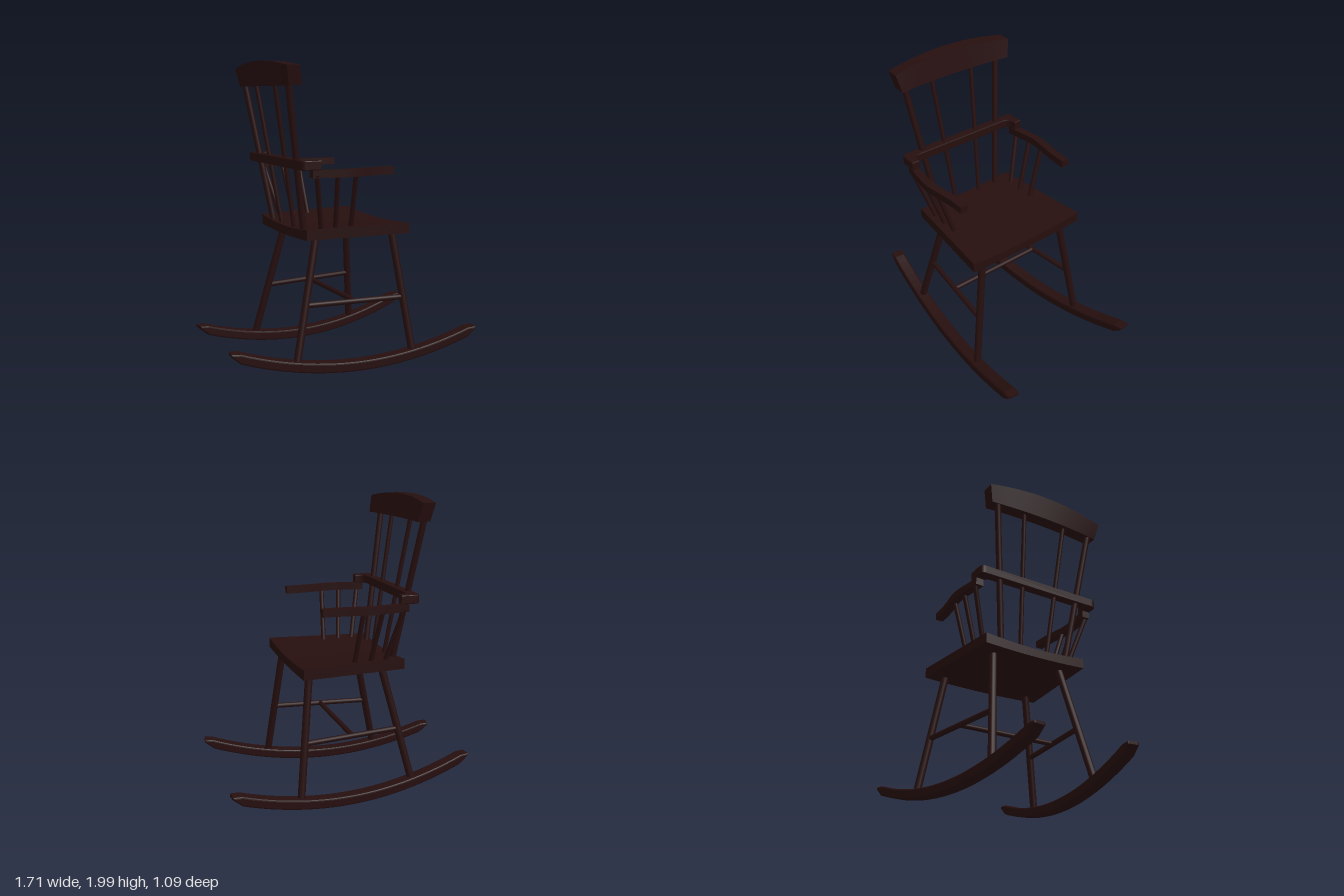
import * as THREE from 'three';

const wood = new THREE.MeshStandardMaterial({ color: 0x260e0e });
wood.name = 'darkWood';

function add(parent, name, geometry) {
  const mesh = new THREE.Mesh(geometry, wood);
  mesh.name = name;
  parent.add(mesh);
  return mesh;
}

// Round bar between two points
function rod(parent, name, a, b, r) {
  const p = new THREE.Vector3(...a), q = new THREE.Vector3(...b);
  const d = q.clone().sub(p);
  const mesh = add(parent, name, new THREE.CylinderGeometry(r, r, d.length(), 14));
  mesh.position.copy(p).add(q).multiplyScalar(0.5);
  mesh.quaternion.setFromUnitVectors(new THREE.Vector3(0, 1, 0), d.normalize());
  return mesh;
}

// Segmented unit box whose corners are placed by a rule
function bentBox(nx, ny, nz, rule) {
  const g = new THREE.BoxGeometry(1, 1, 1, nx, ny, nz);
  const pos = g.attributes.position;
  for (let i = 0; i < pos.count; i++) {
    pos.setXYZ(i, ...rule(pos.getX(i), pos.getY(i), pos.getZ(i)));
  }
  g.computeVertexNormals();
  return g;
}

// Flat plan outline (x, z) raised to a thickness between y0 and y1
function slab(shape, y0, y1, bevel) {
  const g = new THREE.ExtrudeGeometry(shape, {
    depth: y1 - y0 - 2 * bevel, bevelEnabled: true, bevelSize: bevel,
    bevelThickness: bevel, bevelOffset: -bevel, bevelSegments: 2, curveSegments: 12,
  });
  g.rotateX(Math.PI / 2);
  g.translate(0, y1 - bevel, 0);
  return g;
}

// Curved runner in the side plane, centred on its width
function rockerGeometry() {
  const bottom = [], top = [], n = 28;
  for (let i = 0; i <= n; i++) {
    const x = -0.855 + (1.71 * i) / n;
    const rise = 0.222 * x * x;
    const tip = Math.max(0, Math.abs(x) - 0.8) / 0.055;
    bottom.push(new THREE.Vector2(x, rise + 0.005 + 0.03 * tip * tip));
    top.push(new THREE.Vector2(x, rise + 0.072 - 0.018 * tip * tip));
  }
  const shape = new THREE.Shape([...bottom, ...top.reverse()]);
  const g = new THREE.ExtrudeGeometry(shape, {
    depth: 0.06, bevelEnabled: true, bevelSize: 0.012, bevelThickness: 0.013,
    bevelOffset: -0.012, bevelSegments: 3,
  });
  g.translate(0, 0, -0.03);
  return g;
}

export function createModel() {
  const chair = new THREE.Group();
  chair.name = 'rockingChair';

  // Seat: dished slab, wider at the front
  add(chair, 'seat', bentBox(8, 1, 18, (x, y, z) => {
    const half = 0.41 + 0.07 * x;
    const t = 2 * z;
    const dip = (y > 0 ? 0.022 : 0.012) * (1 - t * t);
    return [0.005 + 0.71 * x, 0.919 + 0.068 * y + 0.006 * x - dip, t * half];
  }));

  // Crest rail: bowed, leaning back, arched along its top edge
  add(chair, 'crestRail', bentBox(1, 4, 20, (x, y, z) => {
    const t = 2 * z, h = y + 0.5;
    return [
      -0.464 - 0.024 * h + 0.086 * x + 0.024 * t * t,
      1.843 + h * (0.155 - 0.038 * t * t),
      t * (0.42 + 0.026 * h),
    ];
  }));

  // Middle rail: straight across the back, with short forward returns
  const rail = new THREE.Shape();
  rail.moveTo(-0.285, -0.455);
  rail.lineTo(-0.38, -0.455);
  rail.quadraticCurveTo(-0.415, -0.455, -0.415, -0.42);
  rail.lineTo(-0.415, 0.42);
  rail.quadraticCurveTo(-0.415, 0.455, -0.38, 0.455);
  rail.lineTo(-0.285, 0.455);
  rail.lineTo(-0.285, 0.4);
  rail.quadraticCurveTo(-0.35, 0.4, -0.352, 0.35);
  rail.lineTo(-0.352, -0.35);
  rail.quadraticCurveTo(-0.35, -0.4, -0.285, -0.4);
  add(chair, 'middleRail', slab(rail, 1.33, 1.39, 0.006));

  const rocker = rockerGeometry();
  for (const s of [1, -1]) {
    const side = new THREE.Group();
    side.name = s > 0 ? 'leftSide' : 'rightSide';
    chair.add(side);

    // Rockers splay outward toward the front
    const runner = add(side, 'rocker', rocker);
    runner.position.z = s * 0.415;
    runner.rotation.y = -s * 0.106;

    // Legs and side stretcher
    rod(side, 'frontLeg', [0.29, 0.905, s * 0.325], [0.39, 0.07, s * 0.456], 0.025);
    rod(side, 'rearLeg', [-0.225, 0.905, s * 0.252], [-0.423, 0.07, s * 0.371], 0.025);
    rod(side, 'sideStretcher', [0.344, 0.45, s * 0.397], [-0.333, 0.45, s * 0.317], 0.018);

    // Back posts and inner spindles
    rod(side, 'backPost', [-0.313, 0.91, s * 0.247], [-0.468, 1.87, s * 0.37], 0.021);
    rod(side, 'backSpindle', [-0.313, 0.91, s * 0.1], [-0.468, 1.87, s * 0.16], 0.015);

    // Armrest with a gentle outward bulge
    add(side, 'armrest', bentBox(18, 1, 1, (x, y, z) => {
      const px = -0.053 + 0.575 * x;
      const bulge = 0.032 * Math.exp(-Math.pow((px + 0.1) / 0.16, 2));
      return [px, 1.305 + 0.048 * y, s * 0.42 + 0.054 * z + s * bulge];
    }));

    // Arm spindles
    for (const [x0, x1] of [[-0.225, -0.31], [-0.125, -0.166], [-0.015, -0.036]]) {
      rod(side, 'armSpindle', [x0, 0.92, s * 0.325], [x1, 1.3, s * 0.442], 0.016);
    }
  }

  // Cross stretcher joining the side stretchers
  rod(chair, 'crossStretcher', [0.005, 0.45, -0.357], [0.005, 0.45, 0.357], 0.017);

  return chair;
}
